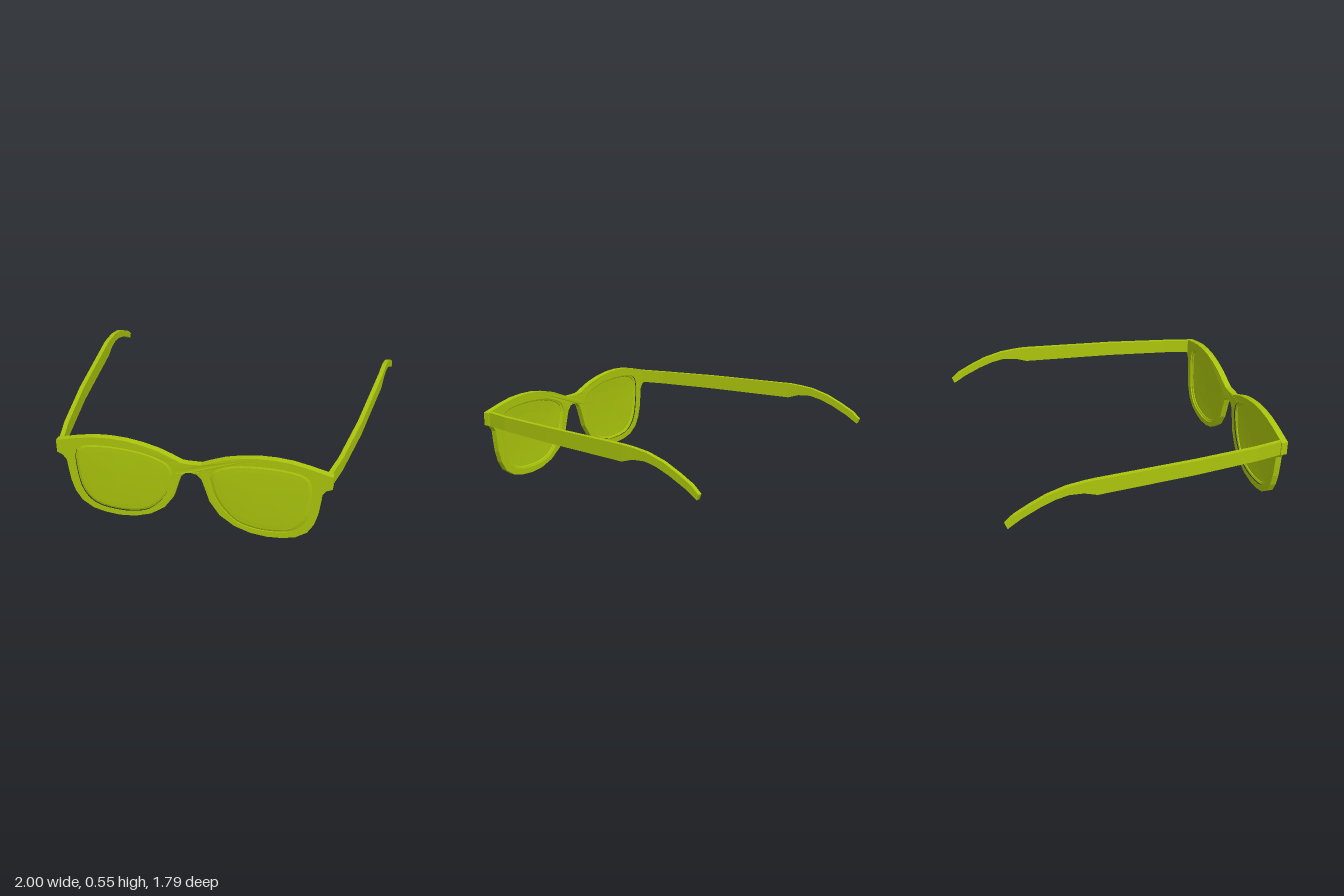
import * as THREE from 'three';

// Right half of the frame outline, from the top of the bridge clockwise to its underside
const OUTLINE = [
  [0, 0.45], [0.06, 0.452], [0.12, 0.478], [0.2, 0.51], [0.3, 0.535], [0.4, 0.55], [0.5, 0.553],
  [0.6, 0.546], [0.7, 0.526], [0.835, 0.492], [0.835, 0.408], [0.8, 0.392], [0.777, 0.36],
  [0.77, 0.29], [0.76, 0.215], [0.738, 0.14], [0.7, 0.075], [0.63, 0.027], [0.55, 0.007],
  [0.46, 0], [0.36, 0.01], [0.26, 0.045], [0.17, 0.11], [0.11, 0.2], [0.08, 0.3], [0.062, 0.355],
  [0.035, 0.383], [0, 0.391],
];

// Lens opening, counter-clockwise
const OPENING = new THREE.SplineCurve([
  [0.115, 0.36], [0.14, 0.25], [0.19, 0.16], [0.27, 0.08], [0.36, 0.048], [0.46, 0.04],
  [0.58, 0.055], [0.65, 0.1], [0.695, 0.18], [0.715, 0.3], [0.718, 0.4], [0.69, 0.465],
  [0.6, 0.492], [0.45, 0.498], [0.3, 0.485], [0.19, 0.455], [0.13, 0.415], [0.115, 0.36],
].map(([x, y]) => new THREE.Vector2(x, y))).getPoints(40).slice(0, -1);

// Temple stations: top z, top y, bottom z, bottom y
const TEMPLE = [
  [0.86, 0.495, 0.86, 0.405], [0.68, 0.498, 0.68, 0.408], [0.27, 0.508, 0.27, 0.413],
  [-0.36, 0.518, -0.35, 0.418], [-0.43, 0.514, -0.43, 0.444], [-0.53, 0.503, -0.52, 0.451],
  [-0.65, 0.47, -0.6, 0.435], [-0.75, 0.425, -0.69, 0.402], [-0.84, 0.378, -0.8, 0.35],
  [-0.893, 0.333, -0.88, 0.3],
];
// Sideways position of the temple along z
const BOW = [[0.86, 0.81], [0.68, 0.848], [0.27, 0.905], [-0.36, 0.963], [-0.893, 0.986]];

function bowX(z) {
  for (let i = 1; i < BOW.length; i++) {
    const [z0, x0] = BOW[i - 1], [z1, x1] = BOW[i];
    if (z >= z1 || i === BOW.length - 1) return x0 + (x1 - x0) * (z0 - z) / (z0 - z1);
  }
}

// The whole front leans back slightly toward its lower edge
const lean = (y) => -(0.55 - y) * 0.014;

// Flat-faced closed skin over a row of equal loops; side -1 mirrors it in x
function loft(sections, side) {
  const pos = [];
  const tri = (a, b, c) => {
    for (const p of side > 0 ? [a, b, c] : [a, c, b]) pos.push(p[0] * side, p[1], p[2]);
  };
  const n = sections[0].length;
  for (let k = 0; k < sections.length - 1; k++) {
    const p = sections[k], q = sections[k + 1];
    for (let i = 0; i < n; i++) {
      const j = (i + 1) % n;
      tri(p[i], q[i], p[j]);
      tri(p[j], q[i], q[j]);
    }
  }
  const first = sections[0], last = sections[sections.length - 1];
  for (let i = 1; i < n - 1; i++) {
    tri(first[0], first[i], first[i + 1]);
    tri(last[0], last[i + 1], last[i]);
  }
  const geometry = new THREE.BufferGeometry();
  geometry.setAttribute('position', new THREE.Float32BufferAttribute(pos, 3));
  geometry.computeVertexNormals();
  return geometry;
}

// One-piece frame with two lens openings
function frameGeometry() {
  const left = OUTLINE.slice(1, -1).reverse().map(([x, y]) => [-x, y]);
  const shape = new THREE.Shape([...OUTLINE, ...left].map(([x, y]) => new THREE.Vector2(x, y)));
  for (const side of [1, -1]) {
    shape.holes.push(new THREE.Path(OPENING.map((p) => new THREE.Vector2(p.x * side, p.y))));
  }
  const geometry = new THREE.ExtrudeGeometry(shape, { depth: 0.04, bevelEnabled: false });
  const pos = geometry.attributes.position;
  for (let i = 0; i < pos.count; i++) {
    const bridge = 0.005 * Math.max(0, 1 - Math.abs(pos.getX(i)) / 0.1);
    pos.setZ(i, pos.getZ(i) + 0.85 + bridge + lean(pos.getY(i)));
  }
  geometry.computeVertexNormals();
  return geometry;
}

// Gently domed lens: scale of the opening and z, from the front centre round to the back
function lensGeometry(side) {
  const rings = [
    [0.2, 0.894], [0.5, 0.8925], [0.8, 0.89], [0.94, 0.888], [1, 0.882],
    [1, 0.857], [0.95, 0.861], [0.94, 0.866], [0.6, 0.87], [0.2, 0.872],
  ];
  return loft(rings.map(([s, z]) => OPENING.map((p) => {
    const y = 0.28 + (p.y - 0.28) * s;
    return [0.42 + (p.x - 0.42) * s, y, z + lean(y)];
  })), side);
}

// Bowed temple with a hooked ear end
function templeGeometry(side) {
  const h = 0.014;
  return loft(TEMPLE.map(([zt, yt, zb, yb]) => [
    [bowX(zb) - h, yb, zb], [bowX(zb) + h, yb, zb], [bowX(zt) + h, yt, zt], [bowX(zt) - h, yt, zt],
  ]), side);
}

export function createModel() {
  const group = new THREE.Group();
  group.name = 'glasses';
  const lime = new THREE.MeshStandardMaterial({ color: 0xaac40c });
  lime.name = 'lime plastic';
  lime.flatShading = true;

  const add = (name, geometry) => {
    const mesh = new THREE.Mesh(geometry, lime);
    mesh.name = name;
    group.add(mesh);
  };

  add('frame', frameGeometry());
  for (const [label, side] of [['left', 1], ['right', -1]]) {
    add(label + 'Lens', lensGeometry(side));
    add(label + 'Temple', templeGeometry(side));
  }
  return group;
}
